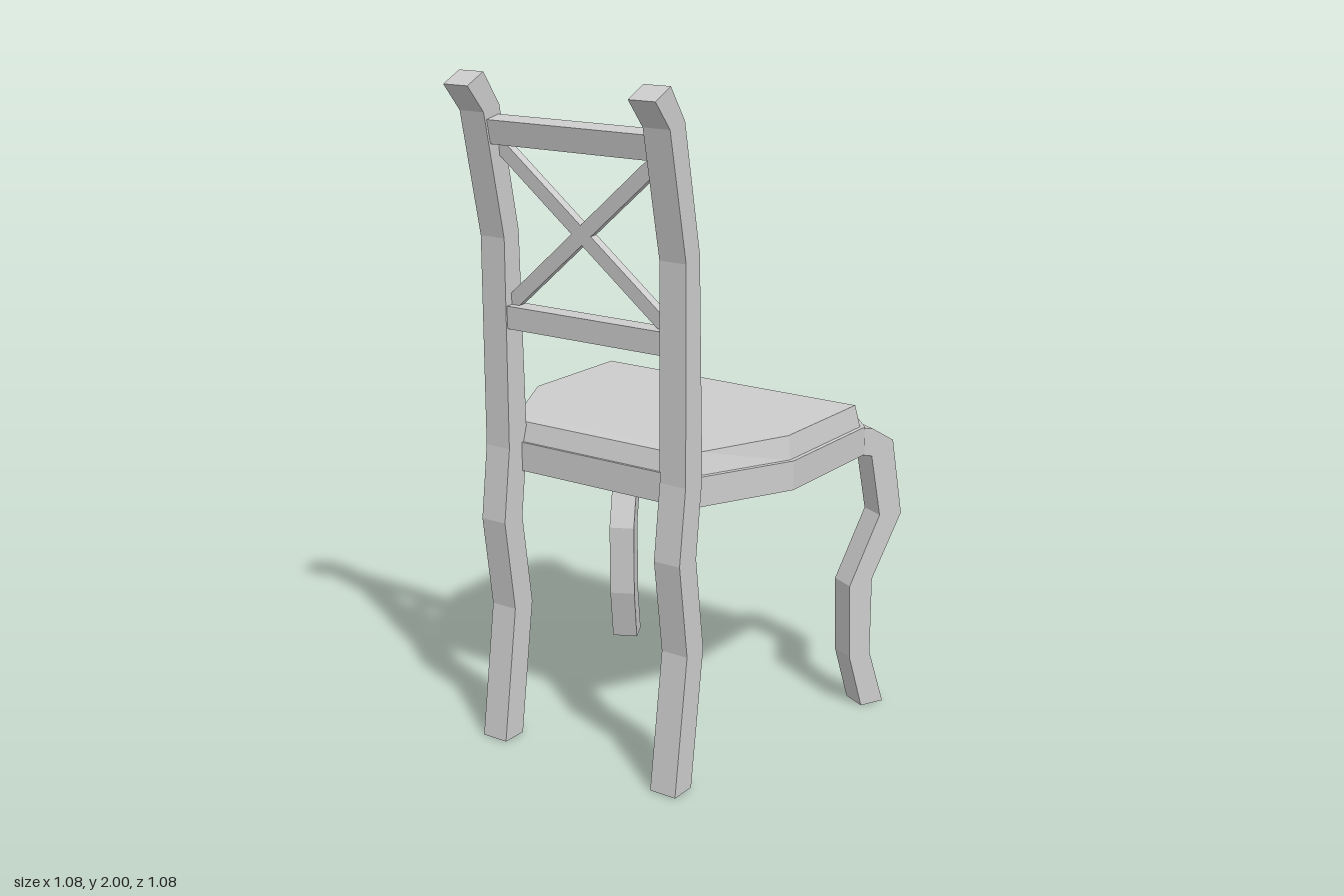
import * as THREE from 'three';

const material = new THREE.MeshStandardMaterial({ color: 0xcccccc, flatShading: true });

function part(name, geometry, parent) {
  const mesh = new THREE.Mesh(geometry, material);
  mesh.name = name;
  parent.add(mesh);
  return mesh;
}

// Side profile extruded to a given width, centred on its own plane
function slab(points, width) {
  const shape = new THREE.Shape(points.map(([a, b]) => new THREE.Vector2(a, b)));
  return new THREE.ExtrudeGeometry(shape, { depth: width, bevelEnabled: false }).translate(0, 0, -width / 2);
}

// Closed solid from stacked rings; each ring is its +x half as [x, y, z], listed front to back
function loft(halves) {
  const rings = halves.map(h => [...h, ...[...h].reverse().map(([x, y, z]) => [-x, y, z])]);
  const n = rings[0].length;
  const out = [];
  const quad = (a, b, c, d) => out.push(...a, ...b, ...c, ...a, ...c, ...d);
  for (let k = 0; k < rings.length - 1; k++) {
    for (let i = 0; i < n; i++) {
      const j = (i + 1) % n;
      quad(rings[k][i], rings[k + 1][i], rings[k + 1][j], rings[k][j]);
    }
  }
  const bottom = rings[0], top = rings[rings.length - 1];
  for (let i = 0; i < n / 2 - 1; i++) {
    const l = n - 1 - i;
    quad(top[l], top[l - 1], top[i + 1], top[i]);
    quad(bottom[l], bottom[i], bottom[i + 1], bottom[l - 1]);
  }
  const geometry = new THREE.BufferGeometry();
  geometry.setAttribute('position', new THREE.Float32BufferAttribute(out, 3));
  geometry.computeVertexNormals();
  return geometry;
}

export function createModel() {
  const chair = new THREE.Group();
  chair.name = 'chair';

  // Seat frame
  const outline = [[0.42, -0.435], [0.48, -0.37], [0.48, 0.04], [0.345, 0.32], [0.27, 0.345]];
  const level = y => outline.map(([x, z]) => [x, y, z]);
  part('seatFrame', loft([level(0.83), level(0.917)]), chair);

  // Cushion with a sloping front and slightly lower back
  part('seatCushion', loft([
    [[0.41, 0.915, -0.423], [0.467, 0.915, -0.363], [0.467, 0.915, 0.037], [0.335, 0.915, 0.31], [0.265, 0.915, 0.338]],
    [[0.4, 0.952, -0.408], [0.455, 0.985, -0.35], [0.455, 0.985, 0.03], [0.325, 0.978, 0.285], [0.265, 0.973, 0.32]],
  ]), chair);

  // Curved front legs, turned outwards at the corners
  const legProfile = [
    [-0.09, 0], [-0.01, 0], [-0.064, 0.175], [-0.064, 0.42], [0.036, 0.62], [-0.003, 0.86], [-0.08, 0.907],
    [-0.13, 0.914], [-0.15, 0.835], [-0.079, 0.82], [-0.043, 0.625], [-0.145, 0.41], [-0.139, 0.175],
  ];
  const turn = Math.atan2(0.89, 0.45);
  for (const side of [1, -1]) {
    const leg = part(side > 0 ? 'leftFrontLeg' : 'rightFrontLeg', slab(legProfile, 0.082), chair);
    leg.position.set(side * 0.489, 0, -0.488);
    leg.rotation.y = side > 0 ? turn : Math.PI - turn;
  }

  // Back rest
  const back = new THREE.Group();
  back.name = 'backRest';
  back.position.x = 0.005;
  chair.add(back);

  // Posts running from the floor to the top
  const postProfile = [
    [0.37, 0], [0.45, 0], [0.392, 0.41], [0.43, 0.69], [0.402, 0.91], [0.403, 1.53], [0.477, 1.89], [0.541, 1.967],
    [0.474, 2], [0.41, 1.905], [0.339, 1.545], [0.322, 0.92], [0.35, 0.69], [0.312, 0.41],
  ];
  for (const side of [1, -1]) {
    const post = part(side > 0 ? 'leftBackPost' : 'rightBackPost', slab(postProfile, 0.086), back);
    post.rotation.y = -Math.PI / 2;
    post.position.x = side * 0.31;
  }

  // Rails
  const upper = part('upperRail', new THREE.BoxGeometry(0.56, 0.07, 0.052), back);
  upper.position.set(0, 1.84, 0.433);
  upper.rotation.x = 0.2;
  const lower = part('lowerRail', new THREE.BoxGeometry(0.56, 0.067, 0.055), back);
  lower.position.set(0, 1.302, 0.37);
  lower.rotation.x = 0.03;

  // Crossed bars between the rails
  const cross = new THREE.Group();
  cross.name = 'crossBars';
  cross.position.set(0, 1.568, 0.383);
  cross.rotation.x = 0.09;
  back.add(cross);
  for (const side of [1, -1]) {
    const bar = part('crossBar', new THREE.BoxGeometry(0.72, 0.043, 0.026), cross);
    bar.rotation.z = side * 0.705;
  }

  return chair;
}
